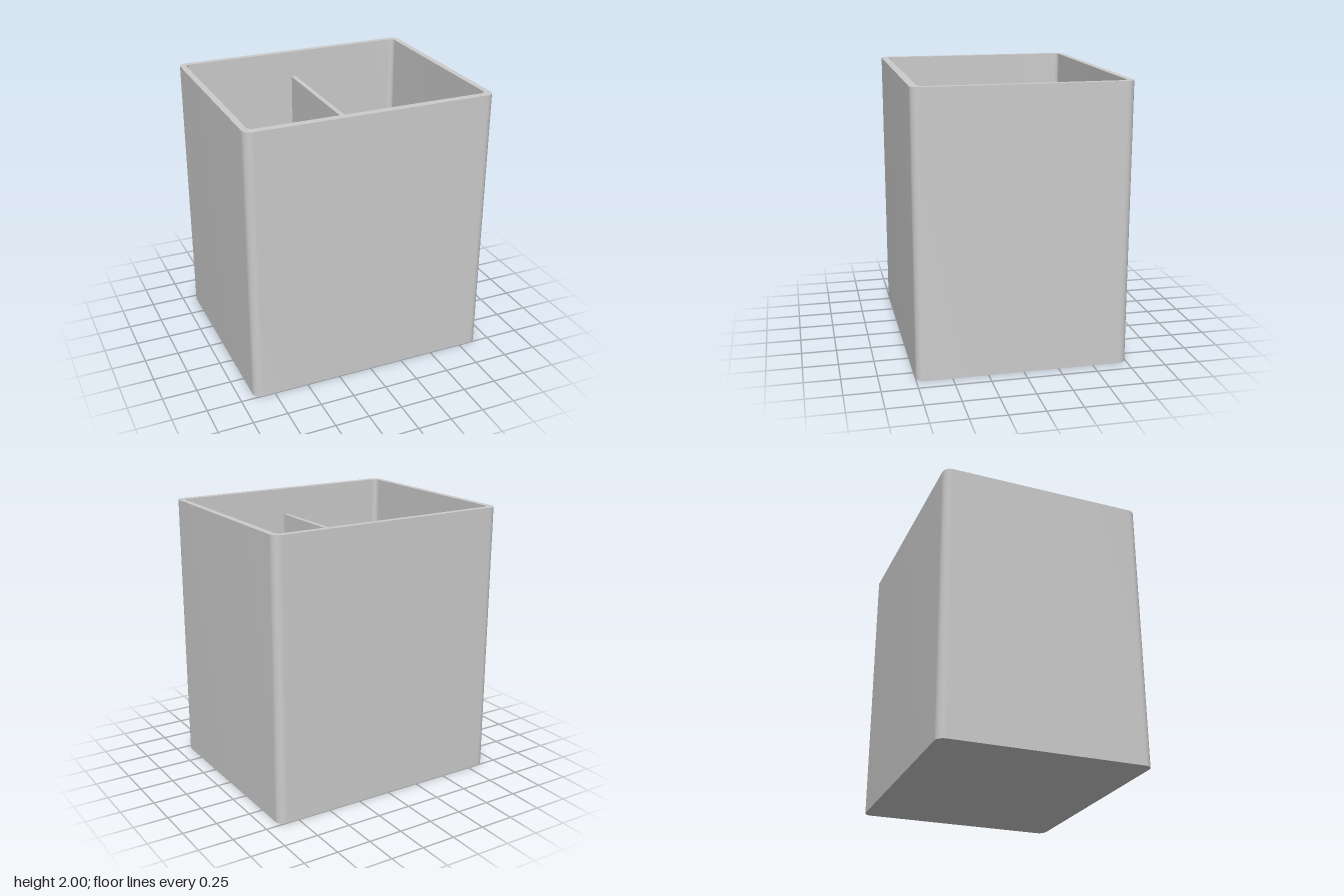
import * as THREE from 'three';
import { toCreasedNormals } from 'three/addons/utils/BufferGeometryUtils.js';

const HEIGHT = 2, FLOOR = 0.045;
const outer = { x0: -0.9, x1: 0.9, z0: -0.75, z1: 0.75, r: 0.06 };
const inner = { x0: -0.856, x1: 0.856, z0: -0.706, z1: 0.696, r: 0.037 };

// Rounded rectangle on the ground plane (shape y is -z)
function trace(path, { x0, x1, z0, z1, r }) {
  const y0 = -z1, y1 = -z0;
  path.moveTo(x0 + r, y0);
  path.lineTo(x1 - r, y0);
  path.absarc(x1 - r, y0 + r, r, -Math.PI / 2, 0);
  path.lineTo(x1, y1 - r);
  path.absarc(x1 - r, y1 - r, r, 0, Math.PI / 2);
  path.lineTo(x0 + r, y1);
  path.absarc(x0 + r, y1 - r, r, Math.PI / 2, Math.PI);
  path.lineTo(x0, y0 + r);
  path.absarc(x0 + r, y0 + r, r, Math.PI, Math.PI * 1.5);
  return path;
}

// Upright extrusion with smooth corners and sharp rims
function upright(shape, depth) {
  const geo = new THREE.ExtrudeGeometry(shape, { depth, bevelEnabled: false, curveSegments: 12 });
  geo.rotateX(-Math.PI / 2);
  return toCreasedNormals(geo, 0.6);
}

export function createModel() {
  const group = new THREE.Group();
  group.name = 'dividedContainer';
  const grey = new THREE.MeshStandardMaterial({ color: 0xcccccc });
  grey.name = 'light grey';

  const add = (name, geo) => {
    const mesh = new THREE.Mesh(geo, grey);
    mesh.name = name;
    group.add(mesh);
    return mesh;
  };

  // Outer walls, open at the top
  const wallShape = trace(new THREE.Shape(), outer);
  wallShape.holes.push(trace(new THREE.Path(), inner));
  add('walls', upright(wallShape, HEIGHT));

  // Floor closing the bottom
  add('floor', upright(trace(new THREE.Shape(), inner), FLOOR));

  // Central divider, lower than the rim
  const top = 1.8, depth = inner.z1 - inner.z0;
  add('divider', new THREE.BoxGeometry(0.035, top - FLOOR, depth))
    .position.set(0, (top + FLOOR) / 2, (inner.z0 + inner.z1) / 2);

  return group;
}
